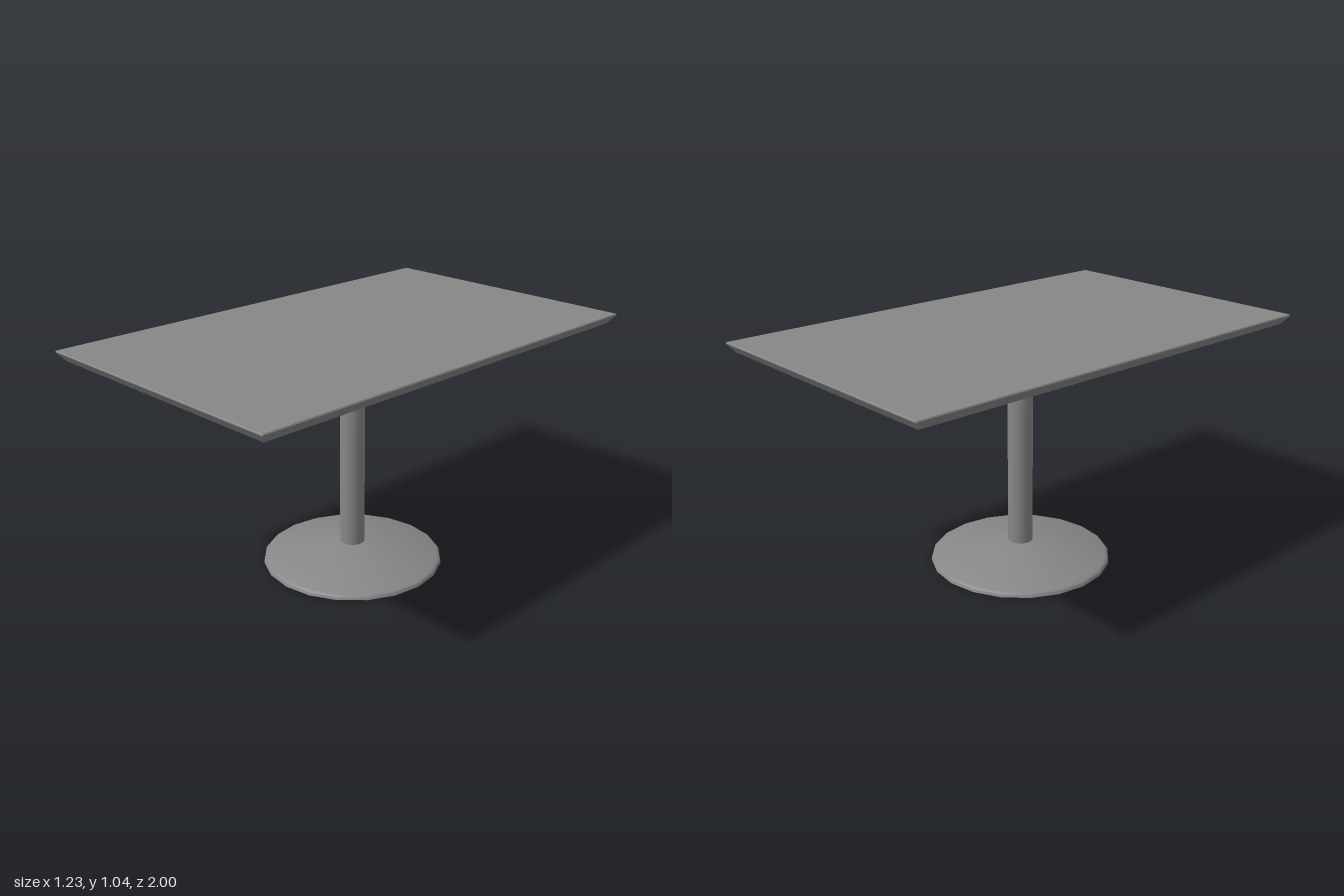
import * as THREE from 'three';
import { toCreasedNormals } from 'three/addons/utils/BufferGeometryUtils.js';

const material = new THREE.MeshStandardMaterial({ color: 0x878787 });

function addPart(group, name, geometry) {
  const mesh = new THREE.Mesh(geometry, material);
  mesh.name = name;
  group.add(mesh);
  return mesh;
}

// Rectangular slab from stacked [inset, y] cross-sections, bottom to top
function slab(halfX, halfZ, sections) {
  const positions = [];
  const rings = sections.map(([inset, y]) => {
    const x = halfX - inset, z = halfZ - inset;
    return [[x, y, z], [x, y, -z], [-x, y, -z], [-x, y, z]];
  });
  const quad = (a, b, c, d) => positions.push(...a, ...b, ...c, ...a, ...c, ...d);
  for (let i = 0; i < rings.length - 1; i++) {
    const low = rings[i], high = rings[i + 1];
    for (let k = 0; k < 4; k++) {
      const n = (k + 1) % 4;
      quad(low[k], low[n], high[n], high[k]);
    }
  }
  const bottom = rings[0], top = rings[rings.length - 1];
  quad(top[0], top[1], top[2], top[3]);
  quad(bottom[3], bottom[2], bottom[1], bottom[0]);
  const geometry = new THREE.BufferGeometry();
  geometry.setAttribute('position', new THREE.Float32BufferAttribute(positions, 3));
  geometry.computeVertexNormals();
  return geometry;
}

export function createModel() {
  const group = new THREE.Group();
  group.name = 'pedestalTable';

  // Table top with an undercut edge
  addPart(group, 'tableTop', slab(0.615, 1, [
    [0.039, 0.99], [0.028, 0.994], [0.001, 1.029], [0, 1.033], [0.003, 1.037],
  ]));

  // Pedestal, set a touch behind the centre
  const pedestal = new THREE.Group();
  pedestal.name = 'pedestal';
  pedestal.position.z = -0.004;
  group.add(pedestal);

  // Round column
  const column = addPart(pedestal, 'column', toCreasedNormals(
    new THREE.CylinderGeometry(0.054, 0.054, 0.92, 20), 0.6));
  column.position.y = 0.535;

  // Shallow conical foot with a small rounded rim
  const profile = [
    [0, 0], [0.393, 0], [0.391, 0.01], [0.387, 0.015], [0.378, 0.02], [0.054, 0.081], [0, 0.081],
  ].map(([r, y]) => new THREE.Vector2(r, y));
  addPart(pedestal, 'base', toCreasedNormals(new THREE.LatheGeometry(profile, 20), 0.7));

  return group;
}
